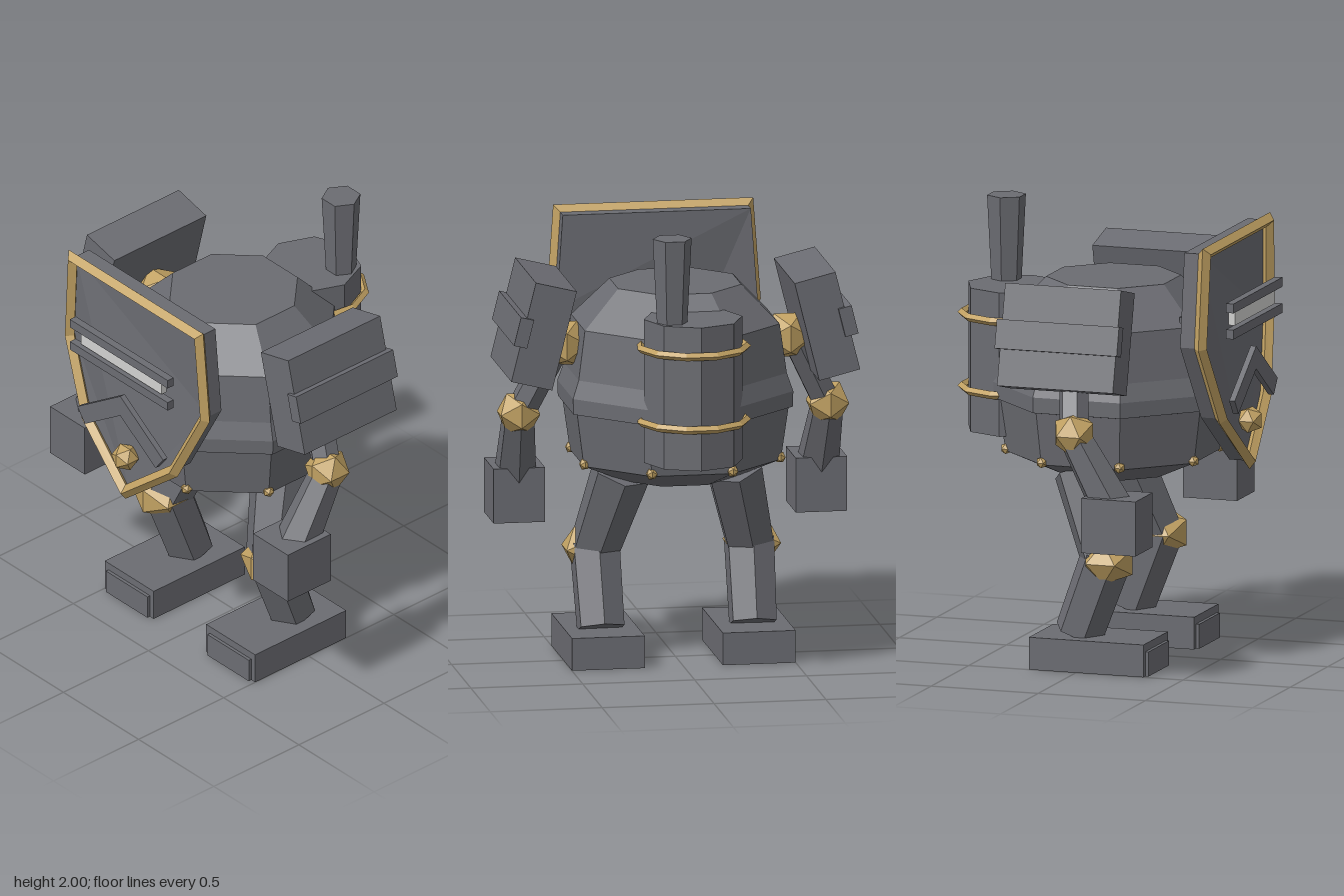
import * as THREE from 'three';

const material = (name, color) => Object.assign(new THREE.MeshStandardMaterial({ color }), { name });

export function createModel() {
  const model = new THREE.Group();
  const iron = material('iron grey', 0x6b6c72);
  const brass = material('brass', 0xc2a263);
  const glow = material('pale visor', 0xd2d2d0);

  // Adds a faceted mesh
  const add = (name, geometry, mat, x = 0, y = 0, z = 0) => {
    const flat = geometry.index ? geometry.toNonIndexed() : geometry;
    flat.computeVertexNormals();
    const mesh = new THREE.Mesh(flat, mat);
    mesh.name = name;
    mesh.position.set(x, y, z);
    model.add(mesh);
    return mesh;
  };
  const box = (name, w, h, d, x, y, z, mat = iron) =>
    add(name, new THREE.BoxGeometry(w, h, d), mat, x, y, z);
  const ball = (name, r, x, y, z) => add(name, new THREE.IcosahedronGeometry(r, 0), brass, x, y, z);

  // Six-sided tapered limb between two points
  const limb = (name, from, to, rFrom, rTo) => {
    const a = new THREE.Vector3(...from), b = new THREE.Vector3(...to);
    const geometry = new THREE.CylinderGeometry(rFrom, rTo, a.distanceTo(b), 6);
    const mid = a.clone().add(b).multiplyScalar(0.5);
    const mesh = add(name, geometry, iron, mid.x, mid.y, mid.z);
    mesh.quaternion.setFromUnitVectors(new THREE.Vector3(0, 1, 0), a.sub(b).normalize());
  };

  // Octagonal body, given as flat-to-centre distance and height
  const k = 1 / Math.cos(Math.PI / 8);
  const profile = [[0, 0.82], [0.245, 0.82], [0.44, 0.91], [0.472, 1.146], [0.49, 1.15],
    [0.492, 1.22], [0.465, 1.3], [0.435, 1.52], [0.275, 1.69], [0, 1.69]];
  add('body', new THREE.LatheGeometry(
    profile.map(([r, y]) => new THREE.Vector2(r * k, y)), 8).rotateY(Math.PI / 8), iron);

  // Rivets on the lower corners of the body
  for (let i = 0; i < 8; i++) {
    const a = Math.PI / 8 + i * Math.PI / 4;
    ball('rivet', 0.027, 0.472 * Math.cos(a), 0.92, 0.472 * Math.sin(a));
  }

  // Curved shield plate
  const half = [[0.29, 1.14], [0.45, 1.48], [0.42, 1.9]];
  const outline = [[0, 0.9], ...half, ...half.map(([x, y]) => [-x, y]).reverse()]
    .map(([x, y]) => new THREE.Vector2(x, y));
  const bend = (x) => -0.35 * x * x;
  const plate = new THREE.ExtrudeGeometry(new THREE.Shape(outline), { depth: 0.075, bevelEnabled: false });
  const pos = plate.attributes.position;
  for (let i = 0; i < pos.count; i++) pos.setZ(i, pos.getZ(i) + 0.54 + bend(pos.getX(i)));
  add('shieldPlate', plate, iron);

  // Shield rim: diamond section mitred around the outline
  const rimRadius = 0.029;
  const sections = outline.map((p, i) => {
    const prev = outline.at(i - 1), next = outline[(i + 1) % outline.length];
    const normal = (a, b) => new THREE.Vector2(b.y - a.y, a.x - b.x).normalize();
    const n = normal(prev, p);
    const m = n.clone().add(normal(p, next)).normalize();
    m.multiplyScalar(rimRadius / m.dot(n));
    const z = 0.635 + bend(p.x);
    return [[p.x + m.x, p.y + m.y, z], [p.x, p.y, z + rimRadius],
      [p.x - m.x, p.y - m.y, z], [p.x, p.y, z - rimRadius]];
  });
  const rimVerts = [];
  sections.forEach((s, i) => {
    const t = sections[(i + 1) % sections.length];
    for (let j = 0; j < 4; j++) {
      const j2 = (j + 1) % 4;
      rimVerts.push(...s[j], ...t[j], ...t[j2], ...s[j], ...t[j2], ...s[j2]);
    }
  });
  const rim = new THREE.BufferGeometry();
  rim.setAttribute('position', new THREE.Float32BufferAttribute(rimVerts, 3));
  add('shieldRim', rim, brass);

  // Visor, its guard bars, chevron and boss
  box('visor', 0.535, 0.06, 0.03, 0, 1.588, 0.645, glow);
  for (const y of [1.645, 1.528]) box('visorBar', 0.65, 0.042, 0.035, 0, y, 0.657);
  const chevron = new THREE.Shape([[0, 1.417], [-0.285, 1.222], [-0.235, 1.155], [0, 1.315],
    [0.235, 1.155], [0.285, 1.222]].map(([x, y]) => new THREE.Vector2(x, y)));
  add('chevron', new THREE.ExtrudeGeometry(chevron, { depth: 0.026, bevelEnabled: false }), iron, 0, 0, 0.64);
  ball('shieldBoss', 0.063, 0, 1.085, 0.637);

  // Boiler on the back with brass straps and a chimney
  add('boiler', new THREE.CylinderGeometry(0.22, 0.22, 0.645, 8), iron, 0, 1.3, -0.457);
  const arc = Math.PI * 1.28;
  for (const y of [1.495, 1.165]) {
    const strap = new THREE.TorusGeometry(0.238, 0.018, 4, 7, arc)
      .rotateZ(Math.PI / 2 - arc / 2).rotateX(-Math.PI / 2);
    add('boilerStrap', strap, brass, 0, y, -0.457);
  }
  add('chimney', new THREE.CylinderGeometry(0.087, 0.066, 0.42, 6).rotateY(Math.PI / 6),
    iron, 0.107, 1.79, -0.537);

  for (const s of [1, -1]) {
    box('shieldMount', 0.08, 0.09, 0.12, s * 0.165, 1.52, 0.44);

    // Shoulder armour with a raised strip
    const tilt = s * 0.244;
    box('shoulderPlate', 0.188, 0.455, 0.54, s * 0.633, 1.52, 0).rotation.z = tilt;
    box('shoulderStrip', 0.06, 0.13, 0.57, s * 0.725, 1.543, 0).rotation.z = tilt;

    // Arm
    ball('shoulderJoint', 0.115, s * 0.5, 1.43, 0);
    limb('upperArm', [s * 0.53, 1.43, 0], [s * 0.69, 1.1, 0.06], 0.068, 0.068);
    ball('elbow', 0.103, s * 0.69, 1.11, 0.06);
    limb('forearm', [s * 0.69, 1.1, 0.06], [s * 0.675, 0.78, 0.235], 0.075, 0.1);
    box('fist', 0.23, 0.245, 0.253, s * 0.675, 0.722, 0.253);

    // Leg
    limb('thigh', [s * 0.25, 0.86, -0.055], [s * 0.345, 0.49, 0.085], 0.135, 0.115);
    ball('knee', 0.14, s * 0.36, 0.485, 0.105).scale.set(1, 0.78, 0.92);
    limb('shin', [s * 0.345, 0.5, 0.09], [s * 0.34, 0.15, -0.04], 0.118, 0.112);
    box('foot', 0.325, 0.145, 0.535, s * 0.337, 0.0725, 0.0475);
    box('toePlate', 0.275, 0.11, 0.03, s * 0.337, 0.055, 0.315);
  }
  return model;
}
